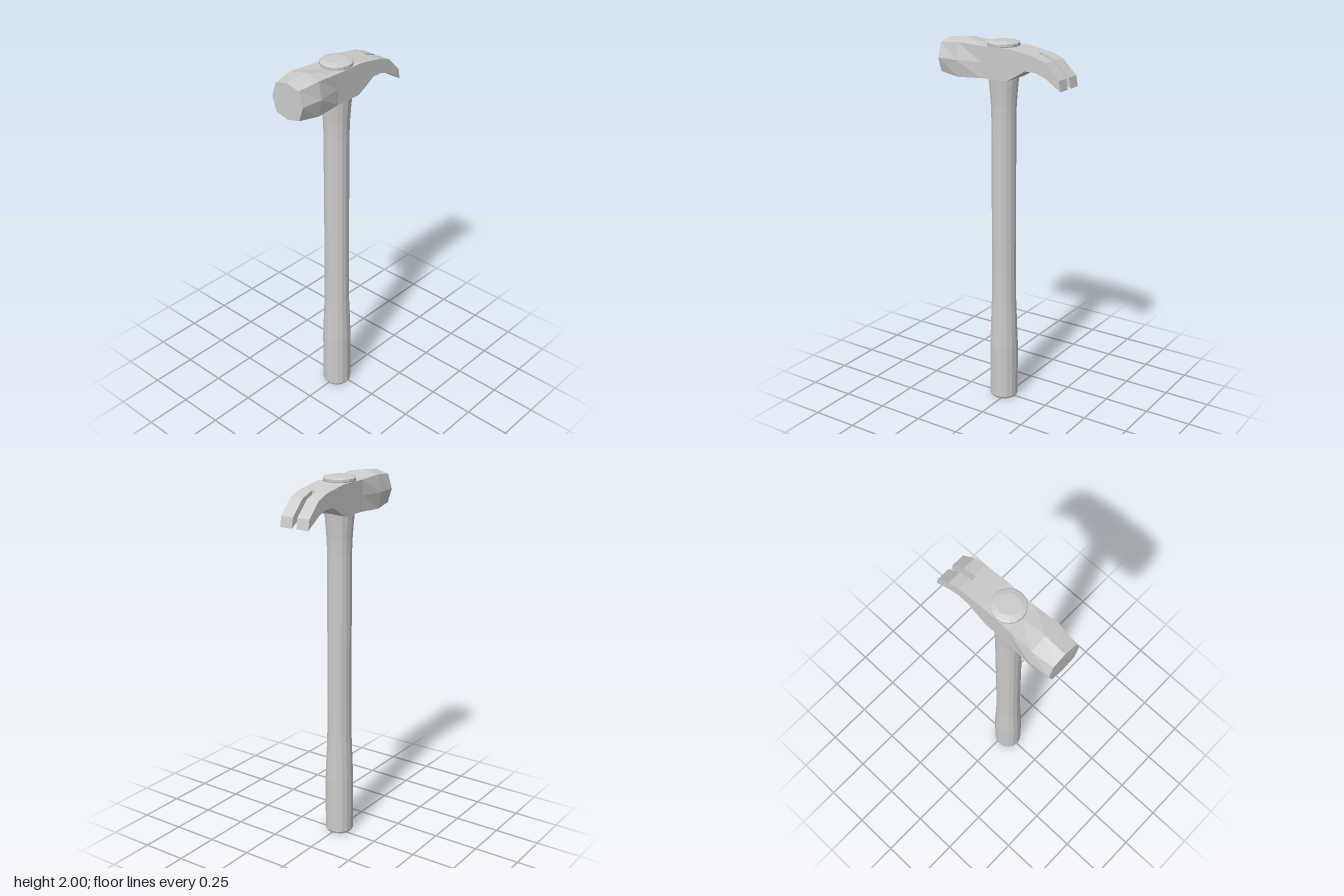
import * as THREE from 'three';

const material = new THREE.MeshStandardMaterial({ color: 0xcccccc, flatShading: true });
const HANDLE_Z = 0.022; // handle axis
const HEAD_Y = 1.892; // striking axis

function part(name, geometry) {
  const mesh = new THREE.Mesh(geometry, material);
  mesh.name = name;
  return mesh;
}

// Sixteen-sided turned part around the handle axis, from [radius, y] pairs
function turned(name, profile) {
  const geo = new THREE.LatheGeometry(profile.map(([r, y]) => new THREE.Vector2(r, y)), 16);
  const mesh = part(name, geo);
  mesh.position.z = HANDLE_Z;
  return mesh;
}

// Side profile of [z, y] pairs, given thickness from x0 to x1
function slab(name, profile, x0, x1) {
  const shape = new THREE.Shape(profile.map(([z, y]) => new THREE.Vector2(z, y)));
  const geo = new THREE.ExtrudeGeometry(shape, { depth: x1 - x0, bevelEnabled: false });
  geo.rotateY(-Math.PI / 2).translate(x1, 0, 0);
  return part(name, geo);
}

// Octagonal loft along z; each section gives its axis and diagonal half-sizes
function pollGeometry(sections) {
  const rings = sections.map(({ z, ax, ay, dx, dy }) =>
    [[ax, 0], [dx, dy], [0, ay], [-dx, dy], [-ax, 0], [-dx, -dy], [0, -ay], [dx, -dy]]
      .map(([x, y]) => [x, HEAD_Y + y, z]));
  const positions = [];
  const last = rings.length - 1;
  for (let j = 0; j < 8; j++) {
    const k = (j + 1) % 8;
    for (let i = 0; i < last; i++) {
      const a = rings[i][j], b = rings[i][k], c = rings[i + 1][k], d = rings[i + 1][j];
      positions.push(...a, ...b, ...c, ...a, ...c, ...d);
    }
    positions.push(0, HEAD_Y, sections[0].z, ...rings[0][k], ...rings[0][j]);
    positions.push(0, HEAD_Y, sections[last].z, ...rings[last][j], ...rings[last][k]);
  }
  const geo = new THREE.BufferGeometry();
  geo.setAttribute('position', new THREE.Float32BufferAttribute(positions, 3));
  geo.computeVertexNormals();
  return geo;
}

export function createModel() {
  const model = new THREE.Group();
  model.name = 'clawHammer';

  // Handle with a swollen grip and a flare under the head
  model.add(turned('handle', [
    [0, 0], [0.072, 0], [0.078, 0.012], [0.078, 0.32], [0.073, 0.45], [0.068, 0.58],
    [0.066, 0.75], [0.066, 1.6], [0.068, 1.67], [0.073, 1.74], [0.08, 1.82], [0, 1.82],
  ]));

  // Domed end of the handle above the head
  model.add(turned('handleCap', [
    [0, 1.965], [0.08, 1.965], [0.085, 1.978], [0.085, 1.99], [0.08, 1.994], [0.055, 2], [0, 2],
  ]));

  const head = new THREE.Group();
  head.name = 'head';
  model.add(head);

  // Striking end, blending from a square neck to an octagon
  head.add(part('poll', pollGeometry([
    { z: 0.105, ax: 0.085, ay: 0.082, dx: 0.085, dy: 0.082 },
    { z: 0.243, ax: 0.108, ay: 0.108, dx: 0.091, dy: 0.09 },
    { z: 0.361, ax: 0.1, ay: 0.094, dx: 0.075, dy: 0.076 },
  ])));

  // Solid middle, up to the root of the slot
  head.add(slab('headBody', [
    [0.105, 1.974], [-0.063, 1.974], [-0.195, 1.953], [-0.195, 1.872], [-0.155, 1.872],
    [-0.105, 1.841], [-0.047, 1.81], [0.105, 1.81],
  ], -0.085, 0.085));

  // Two curved claws either side of the slot
  const claw = [
    [-0.195, 1.953], [-0.21, 1.95], [-0.275, 1.925], [-0.353, 1.847], [-0.363, 1.793],
    [-0.275, 1.851], [-0.22, 1.871], [-0.195, 1.872],
  ];
  head.add(slab('leftClaw', claw, 0.013, 0.085));
  head.add(slab('rightClaw', claw, -0.085, -0.013));

  return model;
}
